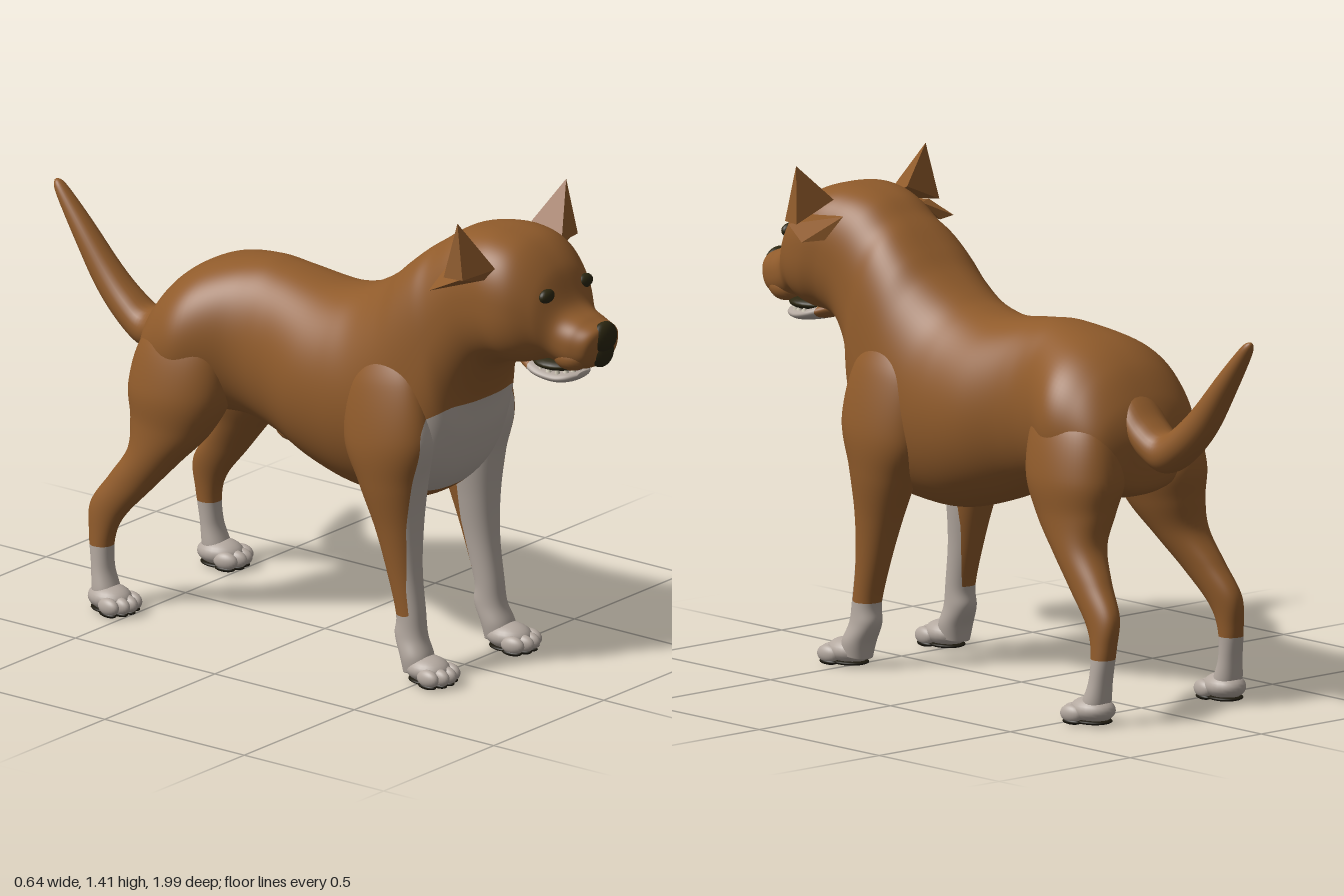
import * as THREE from 'three';
import { ConvexGeometry } from 'three/addons/geometries/ConvexGeometry.js';

const material = (name, color) => {
  const m = new THREE.MeshStandardMaterial({ color });
  m.name = name;
  return m;
};

// Smooth closed skin through sections [zA, yA, zB, yB, halfWidth, x, squareness]:
// A and B are the opposite edges of each ring in the side plane.
// Where paint(x, y, z) is positive the second material is used, cut along its zero line.
function loft(sections, sides, steps, paint = () => -1, mirror = 1) {
  const last = sections.length - 1, rows = last * steps + 1;
  const at = (i, k) => sections[Math.min(Math.max(i, 0), last)][k] ?? 0;
  const value = (t, k) => {
    const i = Math.min(Math.floor(t), last - 1), f = t - i;
    const [a, b, c, d] = [at(i - 1, k), at(i, k), at(i + 1, k), at(i + 2, k)];
    return b + 0.5 * f * (c - a + f * (2 * a - 5 * b + 4 * c - d + f * (3 * (b - c) + d - a)));
  };
  const pos = [], tone = [];
  const push = (x, y, z) => {
    pos.push(x, y, z);
    tone.push(paint(x, y, z));
    return tone.length - 1;
  };
  const bend = (v, e) => Math.sign(v) * Math.pow(Math.abs(v), e);
  for (let r = 0; r < rows; r++) {
    const [zA, yA, zB, yB, w, x, sq] = [0, 1, 2, 3, 4, 5, 6].map((k) => value(r / steps, k));
    for (let s = 0; s < sides; s++) {
      const a = (s / sides) * Math.PI * 2, c = bend(Math.cos(a), 0.88 - sq), n = bend(Math.sin(a), 1 - sq);
      push(mirror * (x + w * c), (yA + yB) / 2 + n * (yA - yB) / 2, (zA + zB) / 2 + n * (zA - zB) / 2);
    }
  }
  for (const i of [0, last]) push(mirror * at(i, 5), (at(i, 1) + at(i, 3)) / 2, (at(i, 0) + at(i, 2)) / 2);
  const cuts = new Map();
  const cut = (i, j) => {
    const key = Math.min(i, j) + '_' + Math.max(i, j), t = tone[i] / (tone[i] - tone[j]);
    if (!cuts.has(key)) cuts.set(key, push(...[0, 1, 2].map((k) => pos[i * 3 + k] * (1 - t) + pos[j * 3 + k] * t)));
    return cuts.get(key);
  };
  const bins = [[], []], tint = (i) => (tone[i] >= 0 ? 1 : 0);
  const face = (...f) => {
    if (mirror < 0) f.reverse();
    const sum = f.reduce((n, i) => n + tint(i), 0);
    if (sum % 3 === 0) return bins[sum / 3].push(...f);
    const o = f.findIndex((i) => tint(i) === (sum === 1 ? 1 : 0));
    const [a, b, c] = [f[o], f[(o + 1) % 3], f[(o + 2) % 3]], p = cut(a, b), q = cut(a, c);
    bins[tint(a)].push(a, p, q);
    bins[tint(b)].push(p, b, c, p, c, q);
  };
  const cap = rows * sides;
  for (let s = 0; s < sides; s++) {
    const n = (s + 1) % sides;
    for (let r = 0; r < cap - sides; r += sides) {
      face(r + s, r + n, r + sides + s);
      face(r + n, r + sides + n, r + sides + s);
    }
    face(cap, n, s);
    face(cap + 1, cap - sides + s, cap - sides + n);
  }
  const g = new THREE.BufferGeometry();
  g.setAttribute('position', new THREE.Float32BufferAttribute(pos, 3));
  g.setIndex(bins[0].concat(bins[1]));
  g.addGroup(0, bins[0].length, 0);
  g.addGroup(bins[0].length, bins[1].length, 1);
  g.computeVertexNormals();
  return g;
}

export function createModel() {
  const dog = new THREE.Group();
  dog.name = 'dog';
  const brown = material('brown coat', 0x905b2b), white = material('white fur', 0xb3a89f);
  const dark = material('dark nose', 0x2b2610), sole = material('black paw pad', 0x1d190e);
  const ivory = material('ivory teeth', 0xc9c2b0), tongueColor = material('tongue', 0x8a5544);
  const coat = [brown, white];

  const add = (name, geometry, mat, parent = dog) => {
    const mesh = new THREE.Mesh(geometry, mat);
    mesh.name = name;
    parent.add(mesh);
    return mesh;
  };
  const ball = (name, mat, p, r, parent = dog) => {
    const mesh = add(name, new THREE.SphereGeometry(1, 24, 16), mat, parent);
    mesh.position.set(...p);
    mesh.scale.set(...r);
    return mesh;
  };

  // White bib with rounded upper corners, running down the fronts and insides of the legs
  const bib = (x, y, z) => Math.min(0.66 - z,
    z - 0.44 - THREE.MathUtils.clamp((Math.abs(x) - 0.18) * 0.9, -0.05, 0.02),
    0.1 - Math.hypot(Math.max(0, Math.abs(x) - 0.115), Math.max(0, y - 0.715)));
  const sock = (x, y, z) => Math.max(0.19 - y, bib(x, y, z));

  // Trunk, neck, skull and muzzle in one skin, rump to nose
  add('body', loft([
    [-0.56, 0.82, -0.55, 0.70, 0.08],
    [-0.52, 0.90, -0.53, 0.63, 0.18],
    [-0.45, 0.985, -0.45, 0.60, 0.228],
    [-0.35, 1.04, -0.35, 0.60, 0.248],
    [-0.20, 1.068, -0.22, 0.60, 0.19],
    [-0.10, 1.062, -0.10, 0.57, 0.19],
    [0.05, 1.045, 0.03, 0.52, 0.222],
    [0.15, 1.06, 0.17, 0.48, 0.23],
    [0.22, 1.09, 0.30, 0.475, 0.228],
    [0.30, 1.14, 0.42, 0.50, 0.222, 0, 0.1],
    [0.36, 1.19, 0.51, 0.58, 0.212, 0, 0.2],
    [0.42, 1.24, 0.56, 0.70, 0.2, 0, 0.2],
    [0.47, 1.275, 0.585, 0.82, 0.187, 0, 0.12],
    [0.53, 1.315, 0.64, 0.92, 0.18, 0, 0.1],
    [0.60, 1.335, 0.70, 0.96, 0.182, 0, 0.14],
    [0.68, 1.338, 0.76, 0.97, 0.187, 0.003, 0.17],
    [0.76, 1.315, 0.80, 0.98, 0.174, 0.008, 0.15],
    [0.83, 1.25, 0.84, 0.99, 0.14, 0.015, 0.08],
    [0.88, 1.15, 0.87, 0.98, 0.106, 0.02, 0.08],
    [0.94, 1.117, 0.92, 0.972, 0.091, 0.022, 0.12],
    [0.98, 1.10, 0.955, 0.98, 0.076, 0.026, 0.12],
    [0.99, 1.08, 0.975, 1.00, 0.05, 0.03, 0.1],
  ], 96, 8, (x, y, z) => Math.min(bib(x, y, z), y - 0.53)), coat);

  // Tail from the raised tip down to the rump
  add('tail', loft([
    [-0.982, 1.125, -0.988, 1.118, 0.005, 0.025],
    [-0.955, 1.112, -0.978, 1.085, 0.02, 0.025],
    [-0.87, 1.025, -0.905, 0.965, 0.036, 0.025],
    [-0.77, 0.915, -0.82, 0.835, 0.048, 0.025],
    [-0.70, 0.85, -0.73, 0.745, 0.058, 0.025],
    [-0.64, 0.815, -0.65, 0.70, 0.066, 0.025],
    [-0.58, 0.845, -0.59, 0.72, 0.072, 0.025],
    [-0.52, 0.90, -0.55, 0.75, 0.074, 0.022],
    [-0.45, 0.95, -0.50, 0.80, 0.06, 0.02],
  ], 28, 6), coat);
  ball('bellySheath', brown, [0, 0.575, -0.125], [0.026, 0.04, 0.05]);

  const foreLeg = [
    [0.39, 0.99, 0.31, 0.97, 0.02, 0.165],
    [0.48, 0.88, 0.24, 0.85, 0.06, 0.178],
    [0.52, 0.72, 0.23, 0.68, 0.088, 0.18],
    [0.49, 0.58, 0.28, 0.56, 0.083, 0.176],
    [0.475, 0.45, 0.335, 0.43, 0.064, 0.174],
    [0.475, 0.32, 0.375, 0.31, 0.049, 0.176],
    [0.49, 0.20, 0.408, 0.19, 0.042, 0.178],
    [0.50, 0.13, 0.405, 0.13, 0.044, 0.18],
    [0.52, 0.08, 0.43, 0.07, 0.05, 0.184],
    [0.53, 0.04, 0.44, 0.025, 0.045, 0.185],
  ];
  const hindLeg = [
    [-0.30, 0.93, -0.43, 0.92, 0.04, 0.13],
    [-0.245, 0.83, -0.52, 0.81, 0.09, 0.148],
    [-0.235, 0.68, -0.555, 0.68, 0.115, 0.155],
    [-0.29, 0.56, -0.54, 0.58, 0.095, 0.17],
    [-0.38, 0.46, -0.535, 0.49, 0.072, 0.194],
    [-0.46, 0.37, -0.59, 0.40, 0.052, 0.216],
    [-0.54, 0.28, -0.648, 0.31, 0.04, 0.233],
    [-0.57, 0.21, -0.645, 0.22, 0.035, 0.242],
    [-0.57, 0.13, -0.632, 0.13, 0.036, 0.247],
    [-0.55, 0.07, -0.625, 0.06, 0.043, 0.25],
    [-0.54, 0.04, -0.615, 0.02, 0.04, 0.25],
  ];

  // Paw with four toes and dark pads
  const paw = (name, x, z, turn) => {
    const g = new THREE.Group();
    g.name = name;
    g.position.set(x, 0, z);
    g.rotation.y = turn;
    ball('pawTop', white, [0, 0.042, -0.005], [0.057, 0.038, 0.07], g);
    ball('pawPad', sole, [0, 0.01, -0.005], [0.05, 0.01, 0.06], g);
    for (const u of [-1.5, -0.5, 0.5, 1.5]) {
      const tz = 0.057 - 0.014 * Math.abs(u);
      ball('toe', white, [u * 0.03, 0.031, tz], [0.02, 0.026, 0.038], g);
      ball('toePad', sole, [u * 0.03, 0.009, tz - 0.002], [0.016, 0.009, 0.032], g);
    }
    dog.add(g);
  };

  for (const s of [1, -1]) {
    const side = s > 0 ? 'left' : 'right';
    add(side + 'FrontLeg', loft(foreLeg, 56, 10, sock, s), coat);
    add(side + 'HindLeg', loft(hindLeg, 48, 8, (x, y) => 0.19 - y, s), coat);
    paw(side + 'FrontPaw', s * 0.185, 0.52, s * 0.08);
    paw(side + 'HindPaw', s * 0.252, -0.567, s * 0.15);

    // Upright ear point above a folded side flap
    const hull = (pts) => new ConvexGeometry(pts.map(([x, y, z]) => new THREE.Vector3(s * x, y, z)));
    add(side + 'EarPoint', hull([[0.247, 1.415, 0.67], [0.272, 1.255, 0.64], [0.262, 1.255, 0.70],
      [0.15, 1.265, 0.73], [0.14, 1.31, 0.63]]), brown);
    add(side + 'EarFlap', hull([[0.15, 1.265, 0.73], [0.15, 1.27, 0.58], [0.29, 1.212, 0.60],
      [0.268, 1.25, 0.68], [0.17, 1.235, 0.71], [0.22, 1.212, 0.58]]), brown);

    // Eye and upper lip
    ball(side + 'Eye', dark, [0.022 + s * 0.087, 1.187, 0.846], [0.03, 0.021, 0.017]);
    ball(side + 'Lip', brown, [0.021 + s * 0.05, 1.012, 0.905], [0.042, 0.04, 0.055]);
  }

  // Nose with dark strip below, open mouth and lower jaw
  ball('nose', dark, [0.033, 1.066, 0.974], [0.051, 0.046, 0.026]);
  ball('noseStrip', dark, [0.033, 1.022, 0.966], [0.046, 0.045, 0.026]);
  ball('mouthInside', dark, [0.02, 0.974, 0.83], [0.08, 0.022, 0.08]);
  ball('tongue', tongueColor, [0.02, 0.964, 0.845], [0.04, 0.015, 0.062]);
  add('lowerJaw', loft([
    [0.72, 1.0, 0.72, 0.95, 0.05, 0.012],
    [0.79, 0.975, 0.79, 0.93, 0.08, 0.015],
    [0.85, 0.96, 0.85, 0.92, 0.075, 0.018],
    [0.89, 0.958, 0.89, 0.926, 0.058, 0.02],
    [0.912, 0.955, 0.912, 0.94, 0.025, 0.02],
  ], 32, 6, (x, y, z) => z - 0.77), coat);
  for (let i = 0; i < 11; i++) {
    const a = (i / 10) * Math.PI;
    const tooth = add('tooth', new THREE.ConeGeometry(0.009, i === 2 || i === 8 ? 0.034 : 0.02, 8), ivory);
    tooth.position.set(0.02 + 0.066 * Math.cos(a), 0.965, 0.81 + 0.085 * Math.sin(a));
  }
  return dog;
}
